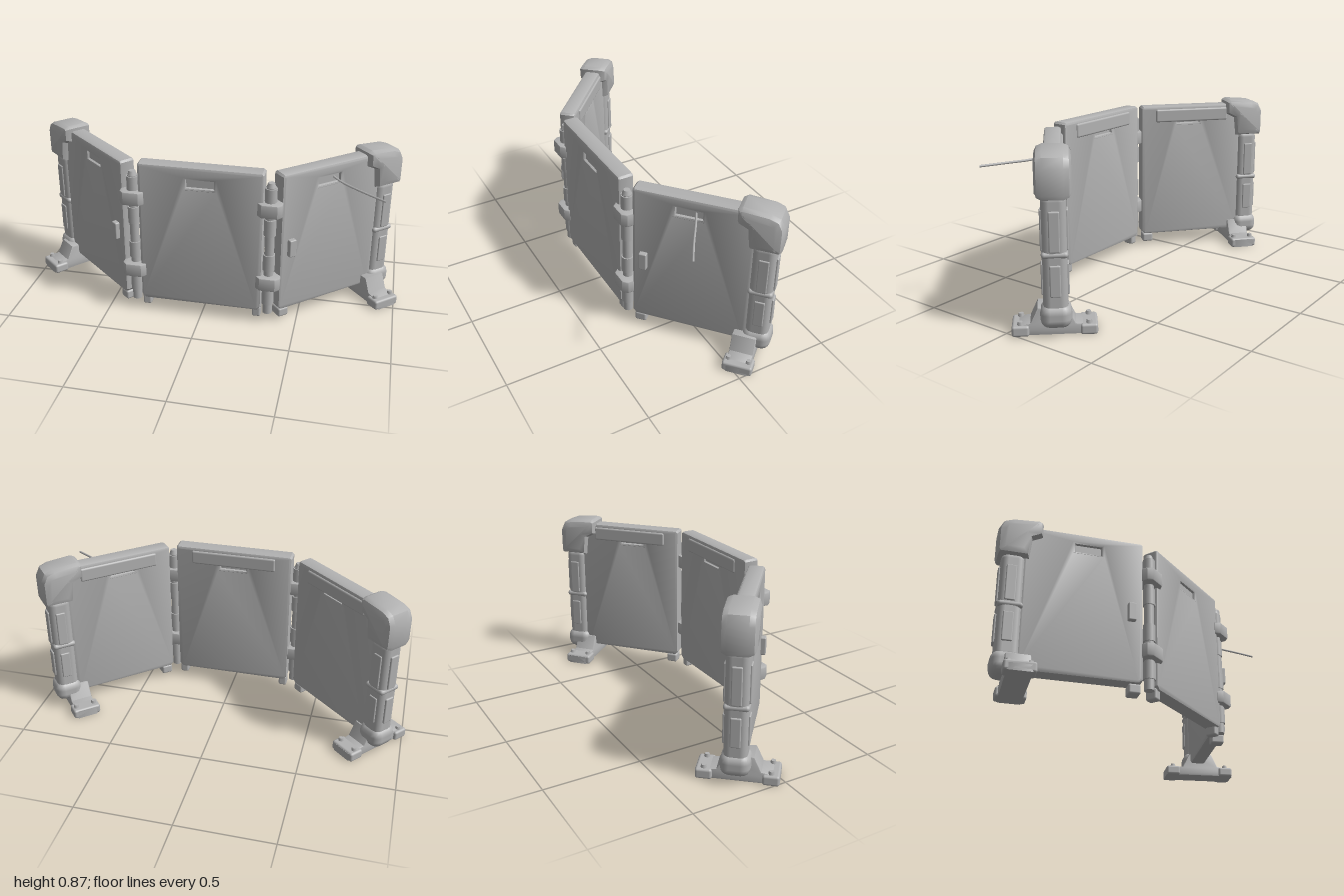
import * as THREE from 'three';
import { toCreasedNormals } from 'three/addons/utils/BufferGeometryUtils.js';
import { RoundedBoxGeometry } from 'three/addons/geometries/RoundedBoxGeometry.js';

const metal = new THREE.MeshStandardMaterial({ color: 0xb2b2b2 });
metal.name = 'grey metal';

function add(group, name, geo, x = 0, y = 0, z = 0) {
  const mesh = new THREE.Mesh(geo, metal);
  mesh.name = name;
  mesh.position.set(x, y, z);
  group.add(mesh);
  return mesh;
}

const box = (w, h, d, r = 0.01) => new RoundedBoxGeometry(w, h, d, 2, r);

// Bevelled plate from a profile, centred on z
function plate(points, depth, bevel, holes = []) {
  const toPath = (pts) => pts.map(([x, y]) => new THREE.Vector2(x, y));
  const shape = new THREE.Shape(toPath(points));
  holes.forEach((h) => shape.holes.push(new THREE.Path(toPath(h))));
  const geo = new THREE.ExtrudeGeometry(shape, {
    depth: depth - 2 * bevel, bevelThickness: bevel, bevelSize: bevel,
    bevelOffset: -bevel, bevelSegments: 2,
  });
  geo.translate(0, 0, bevel - depth / 2);
  return toCreasedNormals(geo, 0.7);
}

const rect = (x0, x1, y0, y1) => [[x0, y0], [x1, y0], [x1, y1], [x0, y1]];

// Framed sheet with a grip slot in its upper band, x0 to x1
function panel(group, x0, x1, top, slotX, slotW) {
  const cx = (x0 + x1) / 2, w = x1 - x0, b = 0.014, c = 0.02;
  const outline = [[x0 + c, 0.075], [x1 - c, 0.075], [x1, 0.075 + c], [x1, top - c / 2],
    [x1 - c / 2, top], [x0 + c / 2, top], [x0, top - c / 2], [x0, 0.075 + c]];
  add(group, 'panelFrame', plate(outline, 0.086, b, [
    rect(x0 + 0.035, x1 - 0.035, 0.105, 0.72),
    rect(slotX - slotW / 2, slotX + slotW / 2, 0.745, 0.785),
  ]));
  add(group, 'panelSheet', box(w - 0.03, top - 0.12, 0.056, 0.005), cx, (top + 0.075) / 2, 0);
  add(group, 'backRail', box(w * 0.72, 0.075, 0.03), cx, top - 0.055, -0.036);
  // Rivets at the corners and the middle, both faces
  for (const x of [x0 + 0.045, x1 - 0.045])
    for (const y of [0.125, 0.36, 0.71])
      for (const z of [-0.028, 0.028]) {
        const rivet = add(group, 'rivet', new THREE.CylinderGeometry(0.005, 0.01, 0.016, 6), x, y, z);
        rivet.rotation.x = z > 0 ? Math.PI / 2 : -Math.PI / 2;
      }
}

// Angled side wing with its corner post and foot, s = +1 left, -1 right
function wing(s) {
  const g = new THREE.Group();
  g.name = s > 0 ? 'leftWing' : 'rightWing';
  g.position.set(0.36 * s, 0, 0.255);
  g.rotation.y = 0.72 * s;
  const flip = (pts) => pts.map(([x, y]) => [x * s, y]);

  const ends = [0.03 * s, 0.63 * s].sort((a, b) => a - b);
  panel(g, ends[0], ends[1], 0.845, 0.31 * s, 0.13);
  add(g, 'hingeTab', box(0.06, 0.05, 0.07), 0.07 * s, 0.05, 0);
  add(g, 'latchBox', box(0.04, 0.095, 0.045, 0.006), 0.09 * s, 0.44, 0.045);

  // Corner post with collar, caps and outer cover strips
  add(g, 'post', box(0.115, 0.56, 0.115, 0.035), 0.675 * s, 0.4, 0);
  add(g, 'postCollar', box(0.122, 0.03, 0.122, 0.03), 0.675 * s, 0.4, 0);
  for (const [y, h] of [[0.28, 0.15], [0.51, 0.19]]) {
    add(g, 'postCover', box(0.018, h, 0.05, 0.006), 0.732 * s, y, 0);
    for (const z of [-0.057, 0.057]) add(g, 'postSideCover', box(0.05, h, 0.014, 0.005), 0.68 * s, y, z);
  }
  add(g, 'postBase', box(0.145, 0.115, 0.145, 0.045), 0.675 * s, 0.105, 0);
  const cap = [[0.54, 0.79], [0.59, 0.765], [0.602, 0.66], [0.75, 0.66], [0.757, 0.68],
    [0.757, 0.8], [0.735, 0.845], [0.69, 0.862], [0.56, 0.872], [0.54, 0.86]];
  add(g, 'cornerCap', plate(flip(cap), 0.165, 0.035));

  // Gusset between post and bottom rail
  add(g, 'gusset', plate(flip([[0.44, 0.09], [0.62, 0.09], [0.62, 0.27]]), 0.066, 0.006));

  // Foot set across the wing, with toe blocks and bolts
  const foot = plate([[-0.19, 0], [0.205, 0], [0.205, 0.035], [0.185, 0.05], [0.12, 0.06],
    [0.085, 0.135], [-0.05, 0.13], [-0.09, 0.055], [-0.19, 0.045]], 0.12, 0.008);
  foot.rotateY(-Math.PI / 2);
  add(g, 'foot', foot, 0.625 * s);
  for (const z of [-0.15, 0.165]) {
    add(g, 'footToe', box(0.15, 0.052, 0.08, 0.012), 0.625 * s, 0.026, z);
    for (const x of [0.575, 0.675])
      add(g, 'footBolt', new THREE.CylinderGeometry(0.012, 0.016, 0.02, 6), x * s, 0.058, z);
  }
  return g;
}

// Hinge column with two clamps
function hinge(s) {
  const g = new THREE.Group();
  g.name = s > 0 ? 'leftHinge' : 'rightHinge';
  g.position.set(0.352 * s, 0, 0.262);
  add(g, 'hingeRod', new THREE.CylinderGeometry(0.025, 0.025, 0.72, 12), 0, 0.42, 0);
  add(g, 'hingeRodTip', new THREE.CylinderGeometry(0.017, 0.025, 0.025, 12), 0, 0.79, 0);
  for (const y of [0.16, 0.36, 0.56, 0.73])
    add(g, 'hingeSleeve', new THREE.CylinderGeometry(0.031, 0.031, 0.09, 12), 0, y, 0);
  const clamp = [[-0.062, -0.05], [0.062, -0.05], [0.062, 0.03], [0.04, 0.054], [-0.04, 0.054], [-0.062, 0.03]];
  for (const y of [0.25, 0.665]) {
    const geo = plate(clamp, 0.072, 0.006);
    geo.rotateX(Math.PI / 2);
    add(g, 'hingeClamp', geo, 0, y, 0);
  }
  return g;
}

export function createModel() {
  const model = new THREE.Group();
  model.name = 'foldingBarrier';

  const centre = new THREE.Group();
  centre.name = 'centrePanel';
  centre.position.z = 0.247;
  panel(centre, -0.32, 0.32, 0.855, 0, 0.14);
  for (const s of [-1, 1]) add(centre, 'hingeTab', box(0.045, 0.06, 0.06), 0.295 * s, 0.06, 0);
  model.add(centre);

  for (const s of [-1, 1]) model.add(wing(s), hinge(s));

  // Thin bent lever on the left wing only
  const path = new THREE.CatmullRomCurve3([
    new THREE.Vector3(0.62, 0.775, 0.04), new THREE.Vector3(0.68, 0.755, 0.08),
    new THREE.Vector3(0.8, 0.745, 0.165), new THREE.Vector3(0.9, 0.74, 0.23)]);
  add(model, 'lever', new THREE.TubeGeometry(path, 12, 0.006, 6));
  return model;
}
